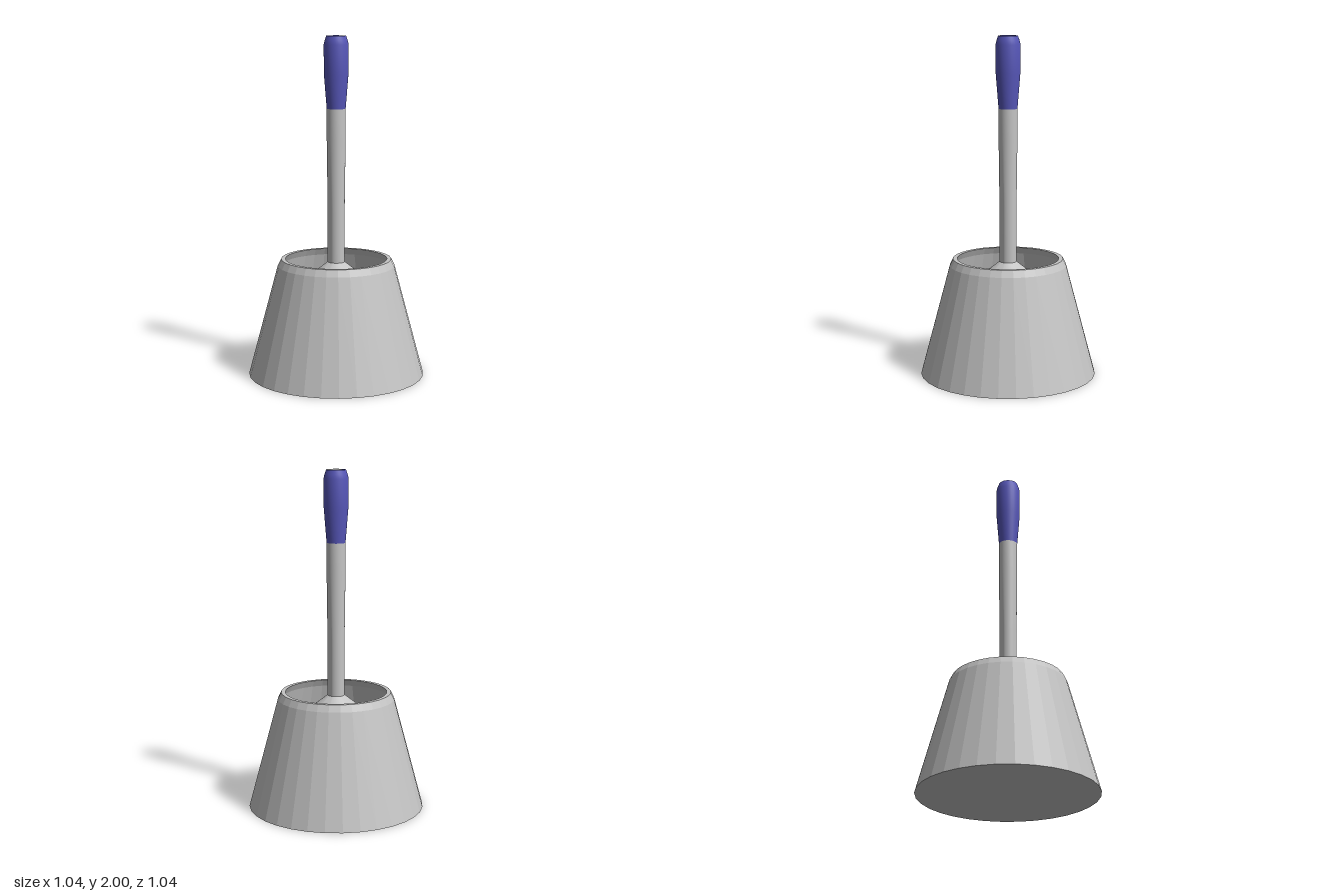
import * as THREE from 'three';
import { toCreasedNormals } from 'three/addons/utils/BufferGeometryUtils.js';

const SIDES = 32;

// Turned shape from [radius, height] pairs; crease is the angle kept sharp
function turned(name, profile, material, crease, start = 0, length = Math.PI * 2) {
  const points = profile.map(([r, y]) => new THREE.Vector2(r, y));
  const lathe = new THREE.LatheGeometry(points, SIDES, start, length);
  const mesh = new THREE.Mesh(toCreasedNormals(lathe, crease), material);
  mesh.name = name;
  return mesh;
}

export function createModel() {
  const grey = new THREE.MeshStandardMaterial({ color: 0xc4c4c4 });
  grey.name = 'grey plastic';
  const blue = new THREE.MeshStandardMaterial({ color: 0x5656b8 });
  blue.name = 'blue plastic';

  const model = new THREE.Group();
  model.name = 'brushAndHolder';

  // Hollow tapered holder with a bevelled rim, faceted sides
  model.add(turned('holder', [
    [0, 0], [0.52, 0], [0.345, 0.655], [0.325, 0.695],
    [0.3, 0.695], [0.32, 0.655], [0.485, 0.03], [0, 0.03],
  ], grey, 0.05));

  const brush = new THREE.Group();
  brush.name = 'brush';
  model.add(brush);

  // Bristle head resting inside the holder
  brush.add(turned('bristles', [
    [0, 0.07], [0.12, 0.09], [0.2, 0.15], [0.24, 0.24],
    [0.24, 0.46], [0.215, 0.53], [0.165, 0.585],
  ], blue, 0.7));

  // Conical cap where the stem meets the bristles
  brush.add(turned('bristleCap', [[0.165, 0.585], [0.05, 0.675]], grey, 0.5));

  // Slightly flared stem
  brush.add(turned('stem', [
    [0.05, 0.66], [0.05, 1.0], [0.055, 1.4], [0.055, 1.58],
  ], grey, 0.5));

  // Grip swelling towards the top
  brush.add(turned('grip', [
    [0.055, 1.58], [0.071, 1.78], [0.072, 1.95], [0.066, 1.975], [0.057, 2.0],
  ], blue, 0.6));

  // Shallow open end: grey front half, blue back half
  const socket = [[0.057, 2.0], [0.05, 1.998], [0.05, 1.96], [0, 1.96]];
  brush.add(turned('socketFront', socket, grey, 0.6, -Math.PI / 2, Math.PI));
  brush.add(turned('socketBack', socket, blue, 0.6, Math.PI / 2, Math.PI));

  return model;
}
